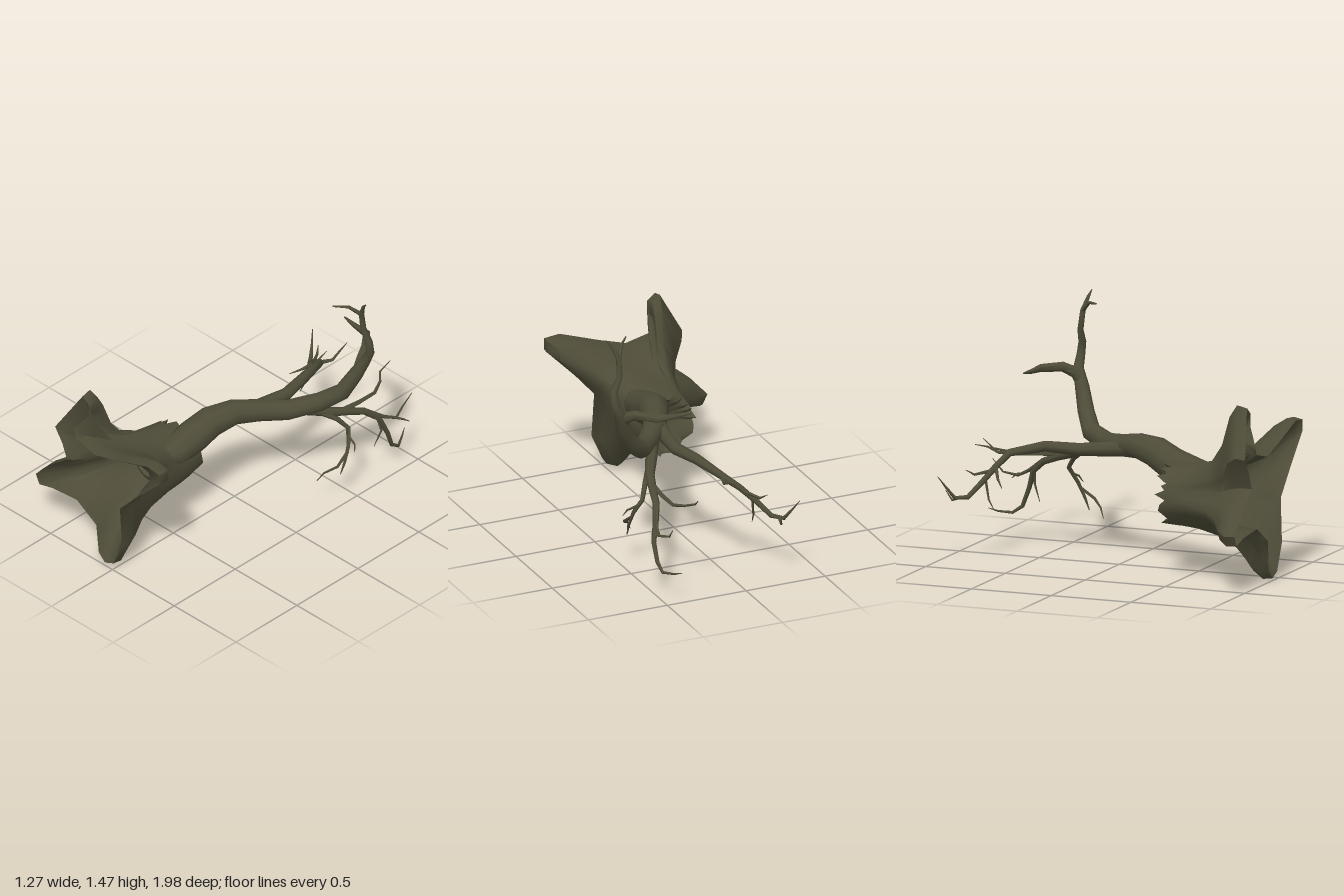
import * as THREE from 'three';
import { toCreasedNormals } from 'three/addons/utils/BufferGeometryUtils.js';

const bark = new THREE.MeshStandardMaterial({ color: 0x4e4c38, side: THREE.DoubleSide });
bark.name = 'dark bark';

// Skin a list of closed rings, each turning anticlockwise about the sweep direction
function loft(rings, crease) {
  const n = rings[0].length, index = [];
  for (let i = 0; i < rings.length - 1; i++) {
    for (let j = 0; j < n; j++) {
      const a = i * n + j, b = i * n + (j + 1) % n;
      index.push(a, b, a + n, b, b + n, a + n);
    }
  }
  const geo = new THREE.BufferGeometry().setFromPoints(rings.flat());
  geo.setIndex(index);
  geo.computeVertexNormals();
  return toCreasedNormals(geo, crease);
}

// Tapered limb through points [x, y, z, radius]
function limb(name, pts, sides = 6) {
  const p = pts.map(q => new THREE.Vector3(q[0], q[1], q[2]));
  const normal = new THREE.Vector3(0.31, 0.9, 0.2);
  const rings = p.map((c, i) => {
    const t = p[Math.min(i + 1, p.length - 1)].clone().sub(p[Math.max(i - 1, 0)]).normalize();
    normal.addScaledVector(t, -normal.dot(t)).normalize();
    const side = t.clone().cross(normal);
    return Array.from({ length: sides }, (_, j) => {
      const a = j / sides * Math.PI * 2;
      return c.clone().addScaledVector(normal, Math.cos(a) * pts[i][3]).addScaledVector(side, Math.sin(a) * pts[i][3]);
    });
  });
  // closed ends
  rings.unshift(rings[0].map(() => p[0].clone()));
  rings.push(rings[0].map(() => p[p.length - 1].clone()));
  const mesh = new THREE.Mesh(loft(rings, 1.1), bark);
  mesh.name = name;
  return mesh;
}

// Root plate outline: [x, y, matching angle on the round stump in degrees]
const OUTLINE = [
  [-.48, .79, 150], [-.31, 1.07, 135], [-.26, 1.03, 128], [-.26, .95, 122], [-.33, .85, 115],
  [-.31, .79, 107], [-.15, .75, 95], [.02, .8, 78], [.28, .89, 58], [.38, .88, 46], [.38, .81, 38],
  [.2, .63, 20], [.05, .47, -10], [.07, .2, -50], [0, .04, -72], [-.07, .01, -82], [-.12, .06, -92],
  [-.14, .25, -105], [-.3, .35, -132], [-.5, .33, -155], [-.61, .3, -168], [-.64, .36, -178],
  [-.53, .48, -188], [-.38, .6, -197], [-.42, .7, -205],
].reverse();

// Stump sections: [z, spread towards the root outline, stump scale, raggedness]
const SECTIONS = [
  [.48, 0, 0, 0], [.46, 0, .5, 0], [.38, 0, .82, .6], [.36, 0, .97, 1],            // broken hollow end
  [.45, .02, 1, .3], [.55, .06, 1, 0], [.7, .22, 1, 0], [.79, .46, 1, 0],           // outside
  [.87, .84, 1, 0], [.93, 1, 1, 0], [.99, .97, 1, 0],                               // root tips
  [.96, .8, 1, 0], [.88, .46, .95, 0], [.74, .12, .92, 0], [.64, 0, .85, 0],        // inside funnel
  [.58, 0, .62, 0], [.6, 0, .4, 0], [.56, 0, .3, 0], [.55, 0, 0, 0],
];

function stump() {
  const rings = SECTIONS.map(([z, spread, scale, ragged]) => OUTLINE.map(([x, y, deg], j) => {
    const a = deg * Math.PI / 180;
    const nx = -.12 + Math.cos(a) * .19 * scale, ny = .48 + Math.sin(a) * .18 * scale;
    const chip = ragged * (.035 * Math.sin(j * 2.4) - .025 * Math.cos(a));
    const lean = y > .92 ? -.06 * spread : 0;
    return new THREE.Vector3(nx + (x - nx) * spread, ny + (y - ny) * spread, z + chip + lean);
  }));
  const mesh = new THREE.Mesh(loft(rings, 1.0), bark);
  mesh.name = 'hollowStumpAndRoots';
  return mesh;
}

export function createModel() {
  const tree = new THREE.Group();
  tree.name = 'fallenTree';
  tree.add(stump());

  // Trunk bending up into the crown
  tree.add(limb('trunk', [
    [-.01, .59, .64, .04], [-.01, .58, .5, .09], [0, .62, .34, .1], [.03, .68, .22, .092], [.08, .7, .08, .075],
    [.15, .68, -.05, .066], [.25, .665, -.18, .06], [.36, .7, -.33, .056], [.47, .79, -.41, .05],
    [.53, .92, -.46, .043], [.57, 1.02, -.5, .032], [.605, 1.09, -.5, .026], [.605, 1.17, -.49, .023],
    [.565, 1.25, -.485, .018], [.565, 1.36, -.47, .016], [.6, 1.44, -.45, .01], [.63, 1.475, -.44, .003],
  ], 9));

  // Upper branches
  tree.add(limb('upperSideBranch', [
    [.54, .93, -.46, .035], [.535, 1, -.5, .035], [.5, 1.035, -.57, .029], [.41, 1.035, -.67, .024],
    [.3, 1.035, -.68, .015], [.21, 1.04, -.69, .005]]));
  tree.add(limb('topTwig', [[.565, 1.36, -.47, .014], [.52, 1.42, -.41, .01], [.46, 1.43, -.34, .004]], 5));

  // Left-hand long branch and its twigs
  tree.add(limb('longBranch', [
    [.09, .68, .08, .05], [.11, .66, -.1, .046], [.115, .64, -.3, .038], [.08, .65, -.5, .032], [.01, .61, -.69, .023],
    [-.08, .54, -.74, .019], [-.16, .46, -.79, .017], [-.23, .38, -.85, .015], [-.28, .38, -.91, .012],
    [-.31, .44, -.95, .007], [-.345, .51, -.99, .002]], 7));
  const longTwigs = [
    [[.01, .61, -.69, .014], [.035, .6, -.77, .009], [.03, .63, -.84, .006], [.015, .64, -.91, .002]],
    [[-.1, .52, -.75, .012], [-.16, .5, -.84, .008], [-.19, .53, -.88, .002]],
    [[-.08, .54, -.74, .012], [-.14, .48, -.7, .008], [-.2, .44, -.65, .002]],
    [[-.26, .38, -.89, .01], [-.25, .36, -.94, .007], [-.23, .41, -.99, .002]],
    [[-.14, .48, -.78, .009], [-.16, .36, -.75, .006], [-.17, .3, -.71, .002]],
  ];
  longTwigs.forEach((t, i) => tree.add(limb('longBranchTwig' + (i + 1), t, 5)));

  // Drooping branch behind the crown
  tree.add(limb('droopingBranch', [
    [.2, .66, -.14, .042], [.28, .62, -.3, .036], [.35, .57, -.43, .029], [.385, .53, -.55, .024],
    [.41, .49, -.65, .021], [.45, .42, -.73, .018], [.48, .31, -.77, .014], [.475, .2, -.81, .012],
    [.47, .16, -.87, .009], [.43, .17, -.94, .006], [.4, .19, -.99, .002]], 7));
  const droopTwigs = [
    [[.37, .55, -.5, .017], [.375, .54, -.65, .013], [.365, .53, -.78, .011], [.33, .55, -.86, .008], [.28, .57, -.91, .006], [.295, .62, -.98, .002]],
    [[.41, .49, -.66, .014], [.46, .42, -.76, .011], [.48, .38, -.84, .009], [.45, .4, -.92, .006], [.46, .47, -.99, .002]],
    [[.47, .39, -.82, .009], [.52, .38, -.86, .006], [.53, .35, -.9, .002]],
    [[.44, .44, -.72, .01], [.47, .34, -.73, .007], [.45, .24, -.69, .002]],
    [[.32, .6, -.36, .022], [.39, .53, -.45, .016], [.43, .46, -.5, .014], [.47, .37, -.46, .012], [.48, .28, -.42, .009], [.475, .21, -.39, .003]],
    [[.475, .34, -.45, .01], [.48, .28, -.36, .009], [.43, .24, -.3, .006], [.4, .185, -.27, .002]],
    [[.45, .42, -.48, .009], [.51, .4, -.47, .006], [.53, .36, -.45, .002]],
  ];
  droopTwigs.forEach((t, i) => tree.add(limb('droopingTwig' + (i + 1), t, 5)));
  return tree;
}
